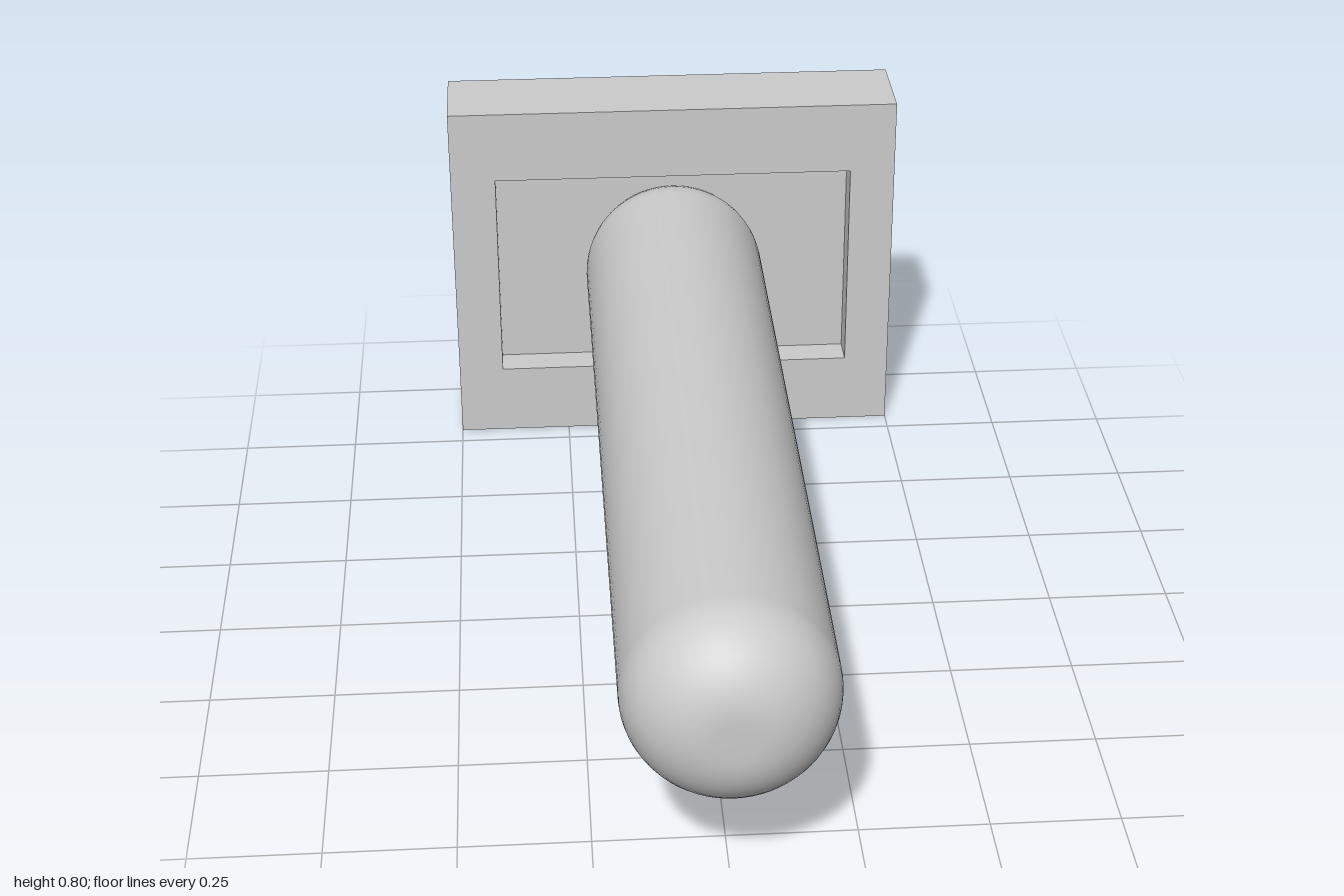
import * as THREE from 'three';

const material = new THREE.MeshStandardMaterial({ color: 0xcccccc });

function add(group, name, geometry, x, y, z) {
  const mesh = new THREE.Mesh(geometry, material);
  mesh.name = name;
  mesh.position.set(x, y, z);
  group.add(mesh);
  return mesh;
}

// Rectangle outline centred on the origin
function rectangle(path, w, h) {
  path.moveTo(-w / 2, -h / 2);
  path.lineTo(w / 2, -h / 2);
  path.lineTo(w / 2, h / 2);
  path.lineTo(-w / 2, h / 2);
  path.closePath();
  return path;
}

export function createModel() {
  const model = new THREE.Group();
  model.name = 'wallPeg';
  const centreY = 0.4, back = -1, floor = -0.87, face = -0.8;

  // Wall plate: solid back with a raised rim around a shallow recess
  const plate = new THREE.Group();
  plate.name = 'wallPlate';
  model.add(plate);
  add(plate, 'plateBack', new THREE.BoxGeometry(1, 0.8, floor - back), 0, centreY, (floor + back) / 2);
  const rim = rectangle(new THREE.Shape(), 1, 0.8);
  rim.holes.push(rectangle(new THREE.Path(), 0.8, 0.48));
  add(plate, 'plateRim', new THREE.ExtrudeGeometry(rim, { depth: face - floor, bevelEnabled: false }), 0, centreY, floor);

  // Round peg with filleted ends, the rear one sunk into the plate
  const radius = 0.2, fillet = 0.16, front = 1, rear = -0.96, steps = 12;
  const profile = [new THREE.Vector2(0, rear)];
  for (const [z, start] of [[rear + fillet, -Math.PI / 2], [front - fillet, 0]]) {
    for (let i = 0; i <= steps; i++) {
      const a = start + (i / steps) * Math.PI / 2;
      profile.push(new THREE.Vector2(radius - fillet + fillet * Math.cos(a), z + fillet * Math.sin(a)));
    }
  }
  profile.push(new THREE.Vector2(0, front));
  const peg = add(model, 'peg', new THREE.LatheGeometry(profile, 64), 0, centreY, 0);
  peg.rotation.x = Math.PI / 2;

  return model;
}
